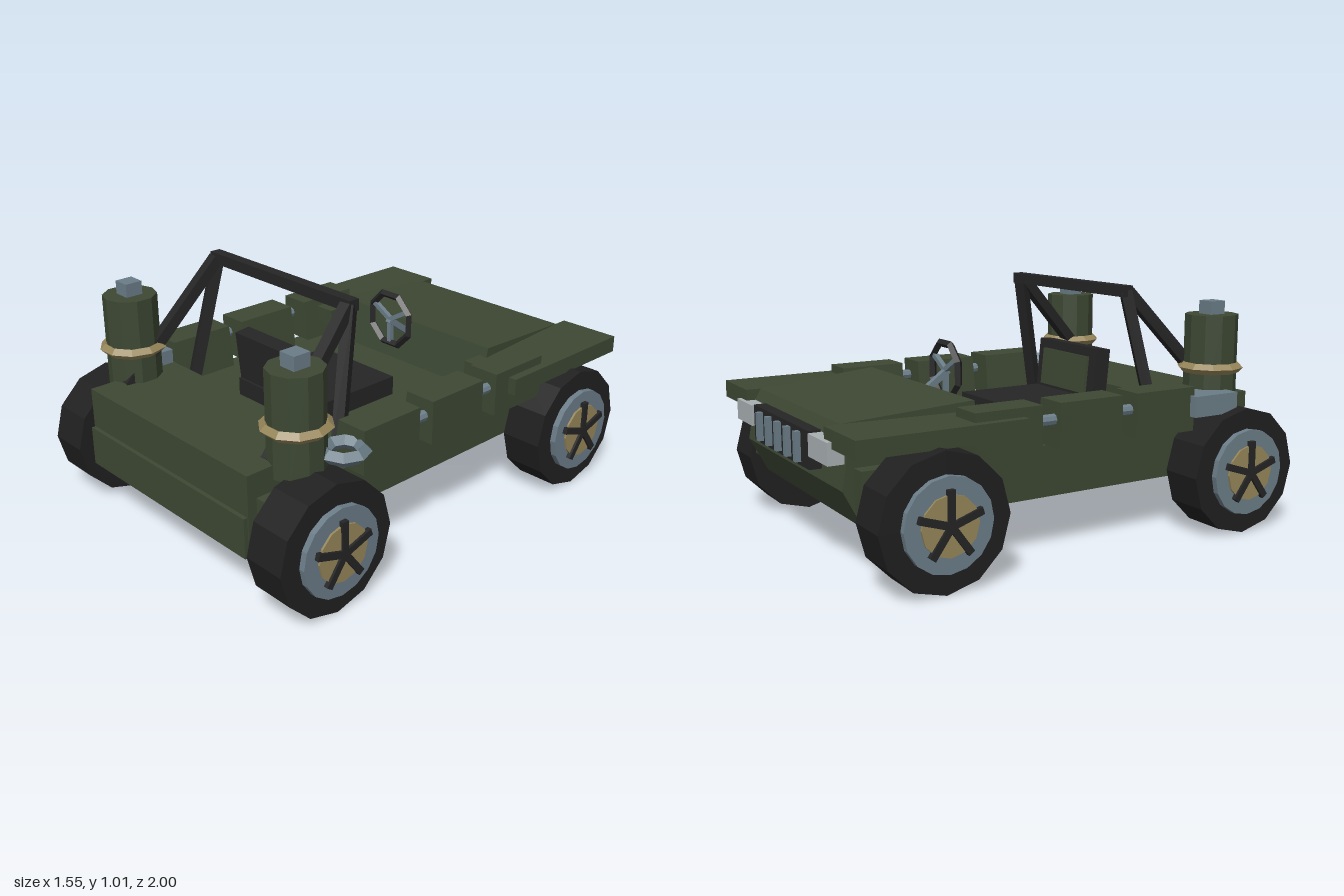
import * as THREE from 'three';

const mat = (name, color) => {
  const m = new THREE.MeshStandardMaterial({ color });
  m.name = name;
  m.flatShading = true;
  return m;
};

export function createModel() {
  const model = new THREE.Group();
  model.name = 'openUtilityCar';
  const green = mat('olivePaint', 0x3d4833);
  const black = mat('blackRubber', 0x202020);
  const trim = mat('darkTrim', 0x252526);
  const steel = mat('blueSteel', 0x6b7d88);
  const tan = mat('tan', 0x97865a);
  const lampGrey = mat('lampGlass', 0xa9b0b2);

  const add = (name, geo, material, parent = model) => {
    const m = new THREE.Mesh(geo, material);
    m.name = name;
    parent.add(m);
    return m;
  };
  // Box given by its limits on each axis
  const box = (name, material, x0, x1, y0, y1, z0, z1, parent) => {
    const m = add(name, new THREE.BoxGeometry(x1 - x0, y1 - y0, z1 - z0), material, parent);
    m.position.set((x0 + x1) / 2, (y0 + y1) / 2, (z0 + z1) / 2);
    return m;
  };
  const extrude = (points, depth) => new THREE.ExtrudeGeometry(
    new THREE.Shape(points.map(p => new THREE.Vector2(...p))), { depth, bevelEnabled: false }
  ).translate(0, 0, -depth / 2);
  // Side profile of [z, y] points, spread across x
  const sideProfile = (points, width) => extrude(points, width).rotateY(-Math.PI / 2);
  // Square bar between two points
  const bar = (name, material, a, b, t, parent) => {
    const from = new THREE.Vector3(...a), to = new THREE.Vector3(...b);
    const m = add(name, new THREE.BoxGeometry(t, t, from.distanceTo(to)), material, parent);
    m.position.copy(from).add(to).multiplyScalar(0.5);
    m.lookAt(to);
    return m;
  };

  // Hull, wider sides and rear deck
  add('hull', sideProfile([[0.94, 0.215], [0.94, 0.44], [-0.38, 0.44], [-0.38, 0.515],
    [-0.91, 0.515], [-0.937, 0.36], [-0.86, 0.215]], 0.98), green);
  box('sideBody', green, -0.55, 0.55, 0.28, 0.44, -0.89, 0.91);
  box('rearDeck', green, -0.5, 0.5, 0.28, 0.54, 0.545, 0.95);
  box('rearBumper', green, -0.495, 0.495, 0.212, 0.375, 0.9, 0.967);

  // Sloping hood, widening towards the cabin
  const hood = sideProfile([[-0.34, 0.44], [-0.38, 0.625], [-0.905, 0.585], [-0.945, 0.515], [-0.9, 0.44]], 0.82);
  const p = hood.attributes.position;
  for (let i = 0; i < p.count; i++) {
    const t = THREE.MathUtils.clamp((p.getZ(i) + 0.905) / 0.525, 0, 1);
    p.setX(i, p.getX(i) * (1 + 0.1 * t));
  }
  hood.computeVertexNormals();
  add('hood', hood, green);

  // Grille and headlamps
  box('grille', trim, -0.29, 0.29, 0.40, 0.545, -0.978, -0.92);
  for (let i = -2; i <= 2; i++) {
    box('grilleBar', steel, i * 0.1 - 0.013, i * 0.1 + 0.013, 0.415, 0.53, -1, -0.97);
  }

  for (const s of [-1, 1]) {
    const lamp = box('headlamp', lampGrey, -0.088, 0.088, 0.455, 0.54, -0.985, -0.92);
    lamp.position.x = s * 0.39;
    const fender = box('frontFender', green, -0.135, 0.135, 0.515, 0.585, -0.967, -0.28);
    fender.position.x = s * 0.545;

    // Side boxes with a leaning inner face, joined by a rail
    const section = [[0.485, 0.44], [0.645, 0.44], [0.645, 0.62], [0.51, 0.62]].map(([x, y]) => [s * x, y]);
    for (const z of [-0.345, 0.025, 0.385]) {
      add('sideBox', extrude(section, 0.29), green).position.z = z;
    }
    const rail = add('sideRail', new THREE.CylinderGeometry(0.022, 0.022, 0.85, 8).rotateX(Math.PI / 2), steel);
    rail.position.set(s * 0.6, 0.55, 0.1);

    // Tank with rope ring and cap
    const tank = new THREE.Group();
    tank.name = 'tank';
    tank.position.set(s * 0.51, 0, 0.73);
    model.add(tank);
    add('tankBody', new THREE.CylinderGeometry(0.11, 0.11, 0.4, 10), green, tank).position.y = 0.69;
    add('tankRing', new THREE.TorusGeometry(0.116, 0.022, 4, 10).rotateX(Math.PI / 2), tan, tank).position.y = 0.67;
    box('tankCap', steel, -0.037, 0.037, 0.88, 0.945, -0.037, 0.037, tank);

    // Roll bar legs and rear braces
    bar('rollBarLeg', trim, [s * 0.395, 0.995, 0.365], [s * 0.455, 0.43, 0.485], 0.046);
    bar('rollBarBrace', trim, [s * 0.395, 0.99, 0.375], [s * 0.45, 0.53, 0.81], 0.046);

    // Wheels
    for (const z of [0.74, -0.655]) {
      const wheel = new THREE.Group();
      wheel.name = z > 0 ? 'rearWheel' : 'frontWheel';
      wheel.position.set(s * 0.64, 0.262, z);
      wheel.rotation.y = s > 0 ? 0 : Math.PI;
      model.add(wheel);
      const disc = (name, r, x0, x1, n, material) => {
        const d = add(name, new THREE.CylinderGeometry(r, r, x1 - x0, n).rotateZ(-Math.PI / 2), material, wheel);
        d.position.x = (x0 + x1) / 2;
      };
      disc('tyre', 0.262, -0.09, 0.09, 12, black);
      disc('rim', 0.178, 0.08, 0.115, 16, steel);
      disc('hub', 0.115, 0.1, 0.124, 12, tan);
      for (let i = 0; i < 5; i++) {
        const a = i * Math.PI * 2 / 5;
        const spoke = box('spoke', trim, 0.11, 0.134, 0, 0.132, -0.014, 0.014, wheel);
        spoke.position.set(0.122, Math.cos(a) * 0.066, Math.sin(a) * 0.066);
        spoke.rotation.x = a;
      }
    }
  }
  bar('rollBarTop', trim, [-0.418, 0.992, 0.363], [0.418, 0.992, 0.363], 0.046);

  // Small box on one side, coiled ring on the other
  box('gearBox', steel, -0.68, -0.53, 0.5, 0.585, 0.51, 0.73);
  add('coil', new THREE.TorusGeometry(0.073, 0.028, 4, 8).rotateX(Math.PI / 2), steel).position.set(0.61, 0.555, 0.595);

  // Seat with padded back
  box('seatBase', trim, -0.215, 0.215, 0.44, 0.52, -0.055, 0.42);
  const back = new THREE.Group();
  back.name = 'seatBack';
  back.position.set(0, 0.48, 0.37);
  back.rotation.x = 0.1;
  model.add(back);
  box('seatBackFrame', trim, -0.215, 0.215, 0, 0.25, -0.035, 0.035, back);
  box('seatPad', green, -0.165, 0.165, 0.05, 0.21, -0.048, -0.03, back);

  // Steering wheel with spokes and column
  const steering = add('steeringWheel', new THREE.TorusGeometry(0.118, 0.017, 4, 8).rotateZ(Math.PI / 8), trim);
  steering.position.set(0, 0.665, -0.255);
  for (const a of [Math.PI / 2, Math.PI * 7 / 6, Math.PI * 11 / 6]) {
    bar('steeringSpoke', steel, [0, 0.665, -0.255], [Math.cos(a) * 0.11, 0.665 - Math.sin(a) * 0.11, -0.255], 0.02);
  }
  bar('steeringColumn', steel, [0, 0.665, -0.245], [0, 0.56, -0.39], 0.026);

  return model;
}
